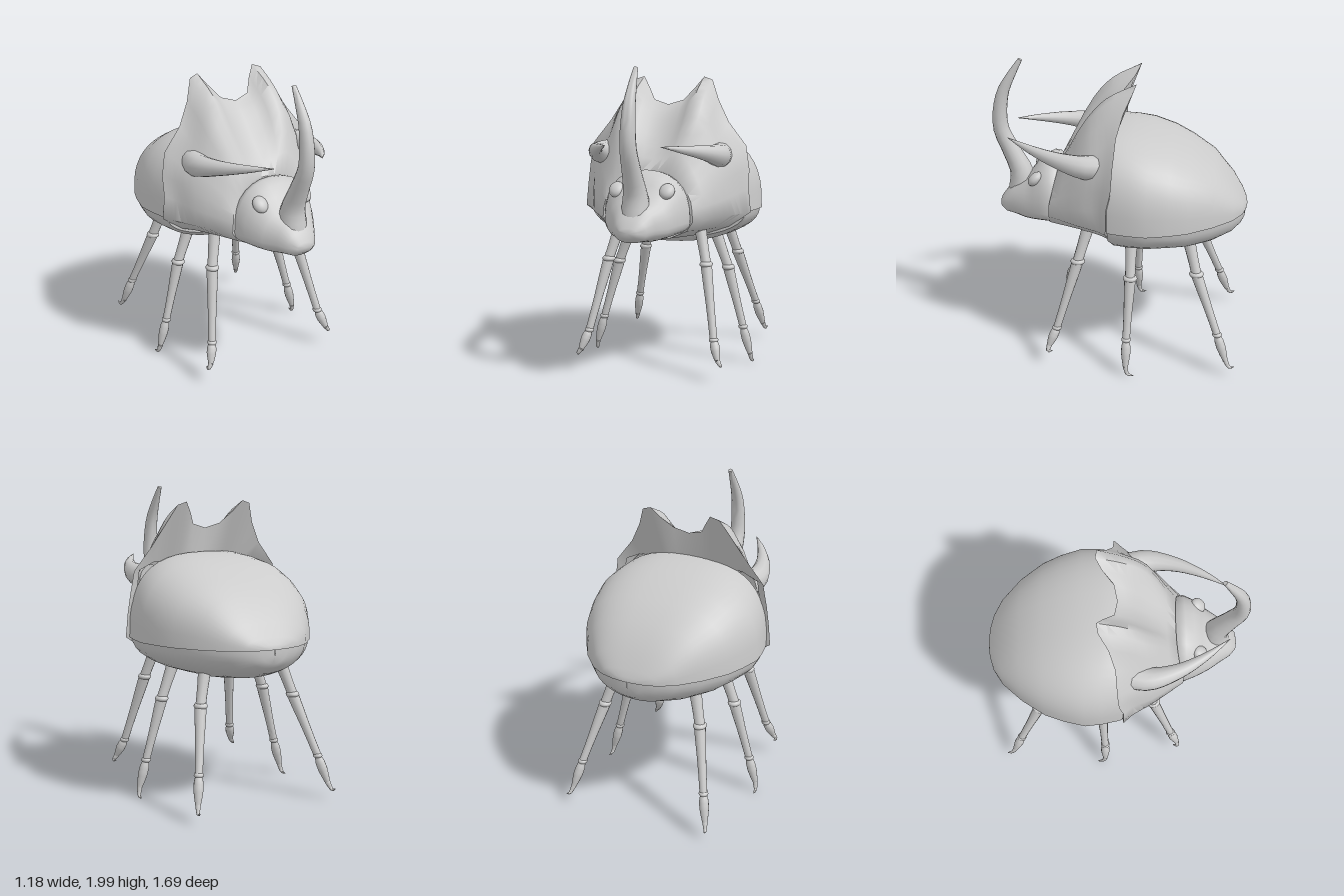
import * as THREE from 'three';
import { toCreasedNormals } from 'three/addons/utils/BufferGeometryUtils.js';

const V = (x, y, z) => new THREE.Vector3(x, y, z);
const material = new THREE.MeshStandardMaterial({ color: 0xcccccc, side: THREE.DoubleSide });

// Skin over a list of rings; each ring is a list of points.
function loft(name, rings, closed = true, crease = 0.7) {
  const n = rings[0].length, pos = [], index = [];
  rings.forEach(r => r.forEach(p => pos.push(p.x, p.y, p.z)));
  for (let i = 0; i < rings.length - 1; i++) {
    for (let j = 0; j < (closed ? n : n - 1); j++) {
      const k = (j + 1) % n, a = i * n, b = a + n;
      index.push(a + j, a + k, b + k, a + j, b + k, b + j);
    }
  }
  const geo = new THREE.BufferGeometry();
  geo.setAttribute('position', new THREE.Float32BufferAttribute(pos, 3));
  geo.setIndex(index);
  const mesh = new THREE.Mesh(toCreasedNormals(geo, crease), material);
  mesh.name = name;
  return mesh;
}

// Tapered round limb along a curve, radii spread evenly over its length.
function limb(name, points, radii, steps = 12, sides = 12) {
  const curve = new THREE.CatmullRomCurve3(points.map(p => V(...p)));
  const { normals, binormals } = curve.computeFrenetFrames(steps);
  const rings = [];
  for (let i = 0; i <= steps; i++) {
    const u = i / steps, f = u * (radii.length - 1), k = Math.min(Math.floor(f), radii.length - 2);
    const r = THREE.MathUtils.lerp(radii[k], radii[k + 1], f - k), c = curve.getPointAt(u);
    rings.push(Array.from({ length: sides }, (_, j) => {
      const a = j / sides * Math.PI * 2;
      return c.clone().addScaledVector(normals[i], r * Math.cos(a)).addScaledVector(binormals[i], r * Math.sin(a));
    }));
  }
  rings.unshift(rings[0].map(() => curve.getPointAt(0)));
  rings.push(rings[0].map(() => curve.getPointAt(1)));
  return loft(name, rings, true, 1);
}

// Squarish arc from angle a0 to a1, with separate heights above and below y.
function arc(z, w, y, up, down, a0, a1, n, pw) {
  const s = v => Math.sign(v) * Math.pow(Math.abs(v), pw);
  return Array.from({ length: n + 1 }, (_, j) => {
    const a = a0 + (a1 - a0) * j / n, sn = Math.sin(a);
    return V(w * s(Math.cos(a)), y + (sn > 0 ? up : down) * s(sn), z);
  });
}

function ellipsoid(name, p, s) {
  const mesh = new THREE.Mesh(new THREE.SphereGeometry(1, 16, 12), material);
  mesh.name = name;
  mesh.position.set(...p);
  mesh.scale.set(...s);
  return mesh;
}

// Full ring from a half profile running bottom centre to top centre.
const mirrorRing = half => [...half, ...half.slice(1, -1).reverse().map(p => V(-p.x, p.y, p.z))];

function pronotum() {
  const back = [[0, .87, .04], [.25, .885, .04], [.43, .95, .04], [.575, 1.05, .04], [.56, 1.2, .04], [.555, 1.33, .01],
    [.53, 1.48, 0], [.41, 1.63, -.01], [.33, 1.77, -.05], [.27, 1.9, -.11], [.21, 1.92, -.12], [.16, 1.85, -.08],
    [.1, 1.77, -.01], [0, 1.74, .01]];
  const collar = [[0, .88, .1], [.22, .89, .1], [.38, .95, .1], [.52, 1.045, .1], [.505, 1.18, .1], [.5, 1.31, .09],
    [.48, 1.43, .08], [.39, 1.56, .07], [.325, 1.7, .07], [.265, 1.8, .07], [.21, 1.82, .07], [.155, 1.76, .07],
    [.095, 1.7, .08], [0, 1.68, .08]];
  const middle = [[0, .89, .23], [.19, .9, .23], [.31, .95, .23], [.445, 1.04, .23], [.445, 1.15, .23], [.435, 1.26, .22],
    [.405, 1.38, .21], [.36, 1.47, .2], [.315, 1.58, .2], [.26, 1.66, .2], [.21, 1.675, .2], [.15, 1.62, .2],
    [.09, 1.56, .2], [0, 1.54, .2]];
  const front = [[0, .91], [.15, .92], [.26, .97], [.3, 1.03], [.295, 1.1], [.285, 1.15], [.26, 1.2], [.23, 1.25],
    [.2, 1.28], [.16, 1.31], [.13, 1.325], [.1, 1.335], [.05, 1.34], [0, 1.34]]
    .map(([x, y]) => [x, y, .44 - .22 * Math.max(0, y - 1.1)]);
  const lines = back.map((p, i) => new THREE.CatmullRomCurve3([p, collar[i], middle[i], front[i]].map(q => V(...q))));
  const rings = [];
  // inner lip closing the back of the crest down to the wing shell
  rings.push(mirrorRing(back.map(([x, y]) => V(x * .9, Math.max(.92, Math.min(y, 1.53)), .03))));
  for (let i = 0; i <= 9; i++) rings.push(mirrorRing(lines.map(c => c.getPoint(i / 9))));
  rings.push(rings[rings.length - 1].map(p => V(p.x * .85, 1.1 + (p.y - 1.1) * .85, p.z - .01)));
  return loft('pronotum', rings, true, 1);
}

function leg(name, hip, knee, ankle, foot, claw) {
  const g = new THREE.Group();
  g.name = name;
  g.add(
    ellipsoid('hip', hip, [.055, .04, .07]),
    limb('thigh', [hip, knee], [.042, .038, .035, .033, .033]),
    ellipsoid('knee', knee, [.043, .024, .048]),
    limb('shin', [knee, ankle], [.038, .034, .029, .026, .025]),
    ellipsoid('ankle', ankle, [.031, .02, .032]),
    limb('foot', [ankle, foot], [.02, .03, .031, .025, .017]),
    limb('claw', [foot, ...claw], [.018, .014, .01, .002], 8, 8));
  return g;
}

export function createModel() {
  const model = new THREE.Group();
  model.name = 'hornedBeetle';

  // Abdomen: z, half width, dome height, belly depth
  const abdomen = [[-.845, .002, .002, .03], [-.835, .1, .03, .08], [-.81, .19, .07, .11], [-.75, .29, .16, .155], [-.62, .41, .31, .2],
    [-.47, .51, .40, .22], [-.35, .555, .46, .22], [-.21, .59, .505, .22], [-.1, .58, .525, .22], [0, .56, .535, .215],
    [.035, .55, .53, .18]];
  model.add(loft('wingShell', abdomen.map(([z, w, h]) => arc(z, w, 1.05, h, 0, 0, Math.PI, 24, .72)), false, 1));
  const belly = abdomen.map(([z, w, , d]) => arc(z * .99, w * .98, 1.055, 0, d + .015, Math.PI, Math.PI * 2, 20, .96));
  belly.push(belly[0].map(() => V(0, 1.0, .035)));
  model.add(loft('belly', belly, false, .8));

  model.add(pronotum());

  // Head: z, half width, middle y, height above, depth below
  const head = [[.37, .25, 1.03, .28, .09], [.41, .28, 1.03, .315, .1], [.45, .285, 1.03, .322, .1], [.51, .26, 1.025, .3, .1],
    [.56, .235, 1.02, .25, .1], [.62, .2, 1.01, .18, .09], [.7, .145, 1.01, .14, .08], [.76, .105, 1.0, .085, .065], [.8, .06, 1.0, .03, .035]]
    .map(([z, w, y, u, d]) => arc(z, w, y, u, d, 0, Math.PI * 2, 28, .86).slice(0, -1));
  head.push(head[0].map(() => V(0, 1, .81)));
  model.add(loft('head', head, true, .9));
  model.add(limb('headHorn', [[0, 1.02, .665], [0, 1.2, .66], [0, 1.36, .725], [0, 1.52, .79], [0, 1.75, .772], [0, 1.89, .705], [0, 1.99, .645]],
    [.1, .088, .068, .058, .052, .047, .04, .028, .014], 18, 14));

  // Paired parts, built on the left and mirrored
  for (const side of [1, -1]) {
    const half = new THREE.Group();
    half.name = side > 0 ? 'leftSide' : 'rightSide';
    half.scale.x = side;
    const eye = ellipsoid('eye', [.165, 1.232, .545], [.05, .036, .058]);
    eye.rotation.x = .75;
    half.add(eye);
    half.add(limb('sideHorn', [[.37, 1.42, .09], [.4, 1.43, .2], [.365, 1.46, .38], [.285, 1.49, .55], [.18, 1.52, .71]],
      [.09, .072, .052, .036, .02, .002], 14));
    half.add(
      leg('frontLeg', [.27, .975, .18], [.335, .73, .25], [.425, .27, .385], [.465, .15, .435], [[.485, .12, .44], [.48, .12, .41]]),
      leg('middleLeg', [.3, .89, -.1], [.39, .65, -.1], [.5, .25, -.085], [.55, .07, -.085], [[.56, .02, -.1], [.565, .012, -.14]]),
      leg('hindLeg', [.28, .905, -.47], [.345, .68, -.53], [.445, .29, -.68], [.485, .12, -.74], [[.5, .075, -.77], [.505, .085, -.8]]));
    model.add(half);
  }
  return model;
}
